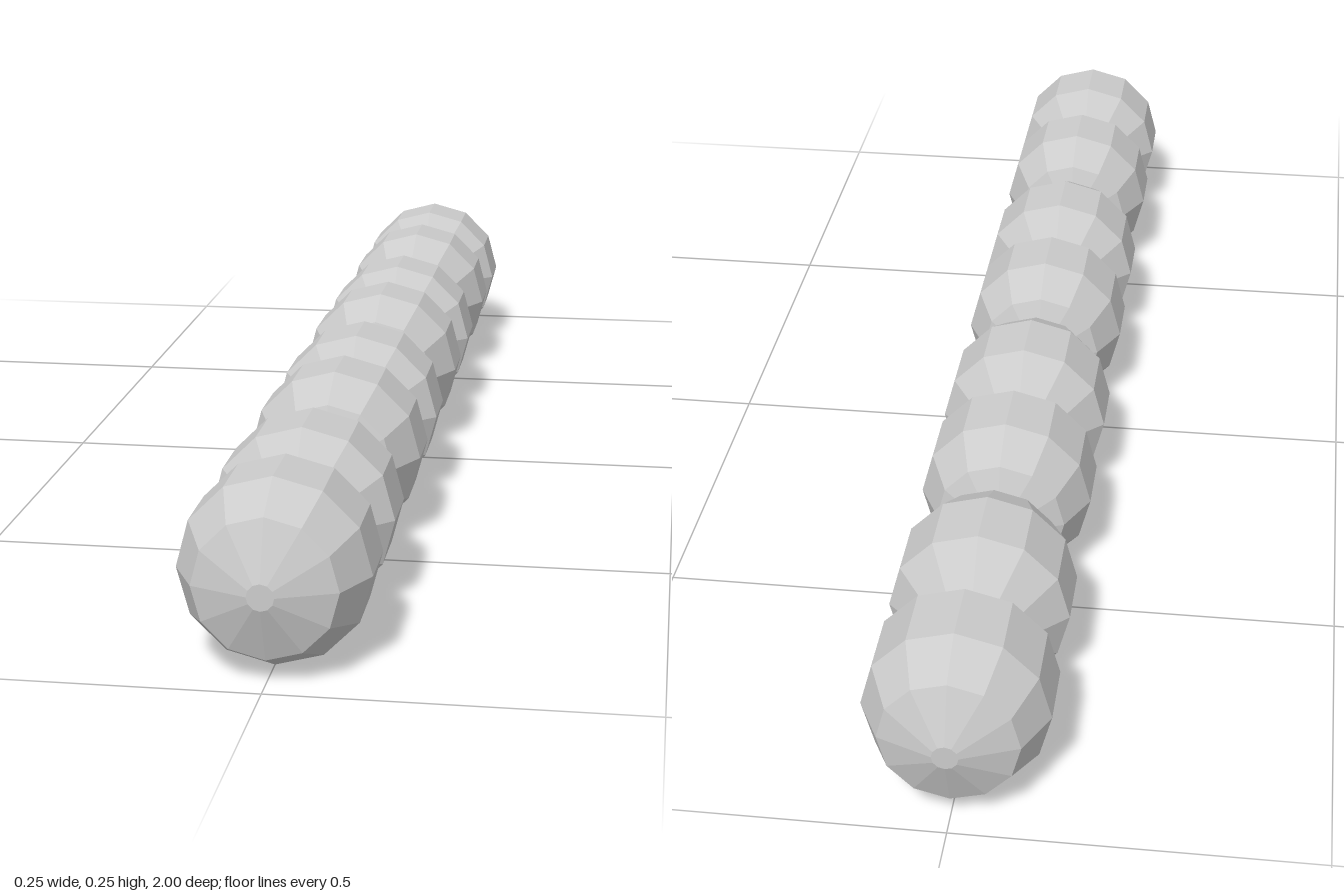
import * as THREE from 'three';

export function createModel() {
  const group = new THREE.Group();
  group.name = 'beadedRod';
  const material = new THREE.MeshStandardMaterial({ color: 0xcccccc, flatShading: true });
  const radius = 0.1275;

  // Half of a bead pair: [radius, distance from the waist between the two beads]
  const half = [[0.065, 0], [radius, 0.06], [radius, 0.155], [0.095, 0.22], [0.018, 0.25], [0, 0.25]];
  const mirrored = half.slice(1).reverse().map(([r, d]) => [r, -d]);
  const profile = [...mirrored, ...half].map(([r, d]) => new THREE.Vector2(r, d));

  // Twelve-sided bead pair, axis along z, with a vertex at the very top
  const geometry = new THREE.LatheGeometry(profile, 12);
  geometry.rotateX(Math.PI / 2);

  // Four pairs, tip to tip
  for (let i = 0; i < 4; i++) {
    const pair = new THREE.Mesh(geometry, material);
    pair.name = `beadPair${i + 1}`;
    pair.position.set(0, radius, 0.75 - i * 0.5);
    group.add(pair);
  }
  return group;
}
